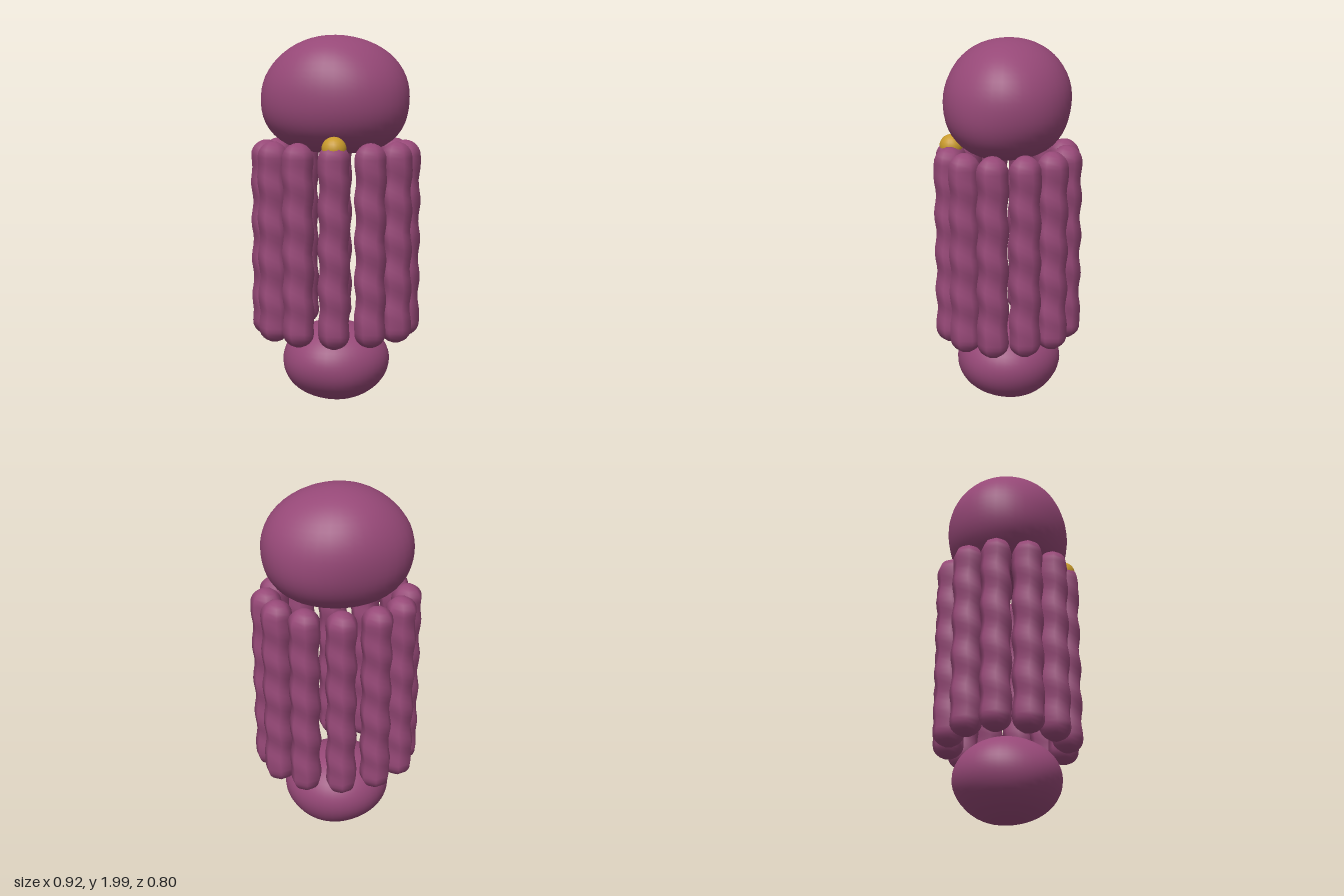
import * as THREE from 'three';
import { mergeVertices } from 'three/addons/utils/BufferGeometryUtils.js';

const purple = new THREE.MeshStandardMaterial({ color: 0x964877 });
const gold = new THREE.MeshStandardMaterial({ color: 0xc89a2c });

// Moves every vertex by a rule, welds the seams and smooths the normals
function reshape(geometry, rule) {
  const p = geometry.attributes.position;
  const v = new THREE.Vector3();
  for (let i = 0; i < p.count; i++) {
    rule(v.fromBufferAttribute(p, i));
    p.setXYZ(i, v.x, v.y, v.z);
  }
  geometry.deleteAttribute('uv');
  geometry.deleteAttribute('normal');
  const welded = mergeVertices(geometry, 1e-4);
  welded.computeVertexNormals();
  return welded;
}

// Lumpy, slightly boxy ellipsoid with separate upper and lower heights
function lobe(name, y, rx, rz, up, down, power, seed) {
  const geometry = reshape(new THREE.SphereGeometry(1, 40, 28), (v) => {
    const lump = 1 + 0.012 * (
      Math.sin(4 * v.x + 2 * v.y + seed) +
      Math.sin(4 * v.z - 3 * v.y + 2 * seed) * Math.cos(3 * v.x + seed));
    const flat = Math.hypot(v.x, v.z);
    const n = v.y < 0 ? power : 2;
    const s = lump / Math.pow(flat ** n + Math.abs(v.y) ** n, 1 / n);
    v.set(v.x * s * rx, v.y * s * (v.y > 0 ? up : down), v.z * s * rz);
  });
  const mesh = new THREE.Mesh(geometry, purple);
  mesh.name = name;
  mesh.position.y = y;
  return mesh;
}

// Seven-sided rod with round ends and a gently rippled shaft
function rod(phase) {
  const geometry = new THREE.CapsuleGeometry(0.085, 0.91, 6, 7, 28);
  geometry.rotateY(-Math.PI / 2);
  return reshape(geometry, (v) => {
    const fade = 1 - THREE.MathUtils.smoothstep(Math.abs(v.y), 0.33, 0.5);
    const thick = 1 - 0.05 * fade;
    const turn = v.y * 30 + phase;
    v.x = v.x * thick + 0.006 * fade * Math.cos(turn);
    v.z = v.z * thick + 0.006 * fade * Math.sin(turn);
  });
}

export function createModel() {
  const model = new THREE.Group();
  model.name = 'channel';

  // Upper and lower lobes
  model.add(lobe('upperLobe', 1.67, 0.405, 0.337, 0.328, 0.31, 2.3, 0.6));
  model.add(lobe('lowerLobe', 0.225, 0.297, 0.285, 0.215, 0.22, 2, 2.1));

  // Oval ring of rods around a hollow core
  const ring = new THREE.Group();
  ring.name = 'rodRing';
  const count = 12;
  for (let i = 0; i < count; i++) {
    const a = (i / count) * Math.PI * 2;
    const mesh = new THREE.Mesh(rod(a * 2), purple);
    mesh.name = `rod${i + 1}`;
    mesh.position.set(0.375 * Math.cos(a), 0.9, 0.318 * Math.sin(a));
    ring.add(mesh);
  }
  model.add(ring);

  // Gold bead on top of the front rod
  const bead = new THREE.Mesh(new THREE.SphereGeometry(0.065, 20, 14), gold);
  bead.name = 'bead';
  bead.position.set(0, 1.41, 0.315);
  model.add(bead);

  return model;
}
